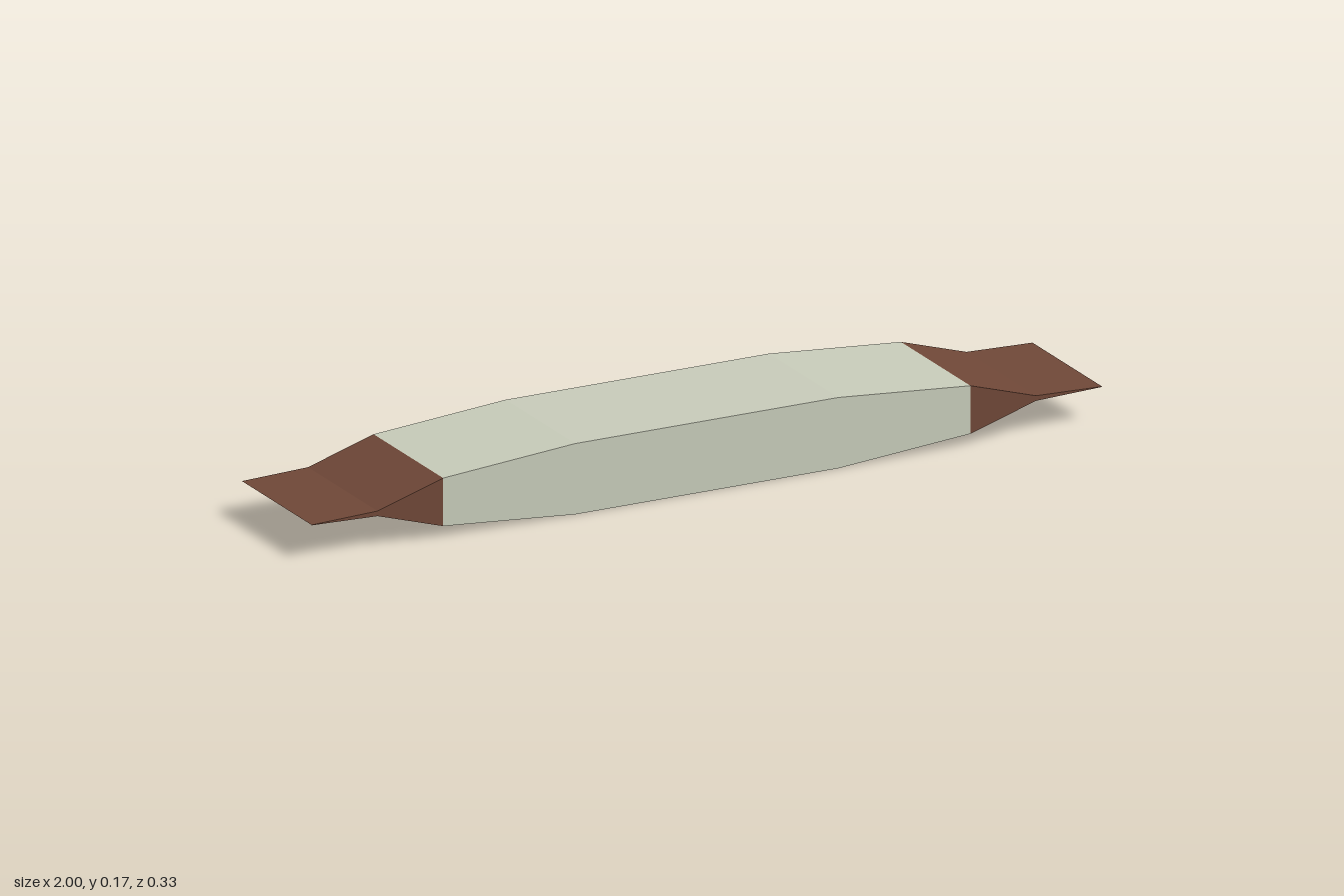
import * as THREE from 'three';

const HALF_DEPTH = 0.167;
const MID_Y = 0.084;

// Closed-sided band through stations [x, halfHeight] ordered by rising x;
// the ends stay open because neighbouring bands meet there.
function band(name, stations, material) {
  const pos = [];
  const quad = (a, b, c, d) => pos.push(...a, ...b, ...c, ...a, ...c, ...d);
  for (let i = 0; i < stations.length - 1; i++) {
    const corners = ([x, h]) => [
      [x, MID_Y - h, HALF_DEPTH], [x, MID_Y + h, HALF_DEPTH],
      [x, MID_Y + h, -HALF_DEPTH], [x, MID_Y - h, -HALF_DEPTH],
    ];
    const p = corners(stations[i]);
    const q = corners(stations[i + 1]);
    // front, top, back, bottom
    for (let k = 0; k < 4; k++) {
      const n = (k + 1) % 4;
      quad(p[k], q[k], q[n], p[n]);
    }
  }
  const geometry = new THREE.BufferGeometry();
  geometry.setAttribute('position', new THREE.Float32BufferAttribute(pos, 3));
  geometry.computeVertexNormals();
  const mesh = new THREE.Mesh(geometry, material);
  mesh.name = name;
  return mesh;
}

export function createModel() {
  const pale = new THREE.MeshStandardMaterial({ name: 'pale sage', color: 0xc8ccba });
  const brown = new THREE.MeshStandardMaterial({ name: 'brown', color: 0x704838 });

  const group = new THREE.Group();
  group.name = 'taperedBar';

  // Pale middle with bevelled shoulders
  group.add(band('body', [[-0.667, 0.057], [-0.333, 0.084], [0.333, 0.084], [0.667, 0.057]], pale));

  // Brown ends pinching to a thin edge
  const tip = [[0.667, 0.057], [0.833, 0.006], [1, 0.0005]];
  group.add(band('leftTip', tip, brown));
  group.add(band('rightTip', tip.map(([x, h]) => [-x, h]).reverse(), brown));

  return group;
}
